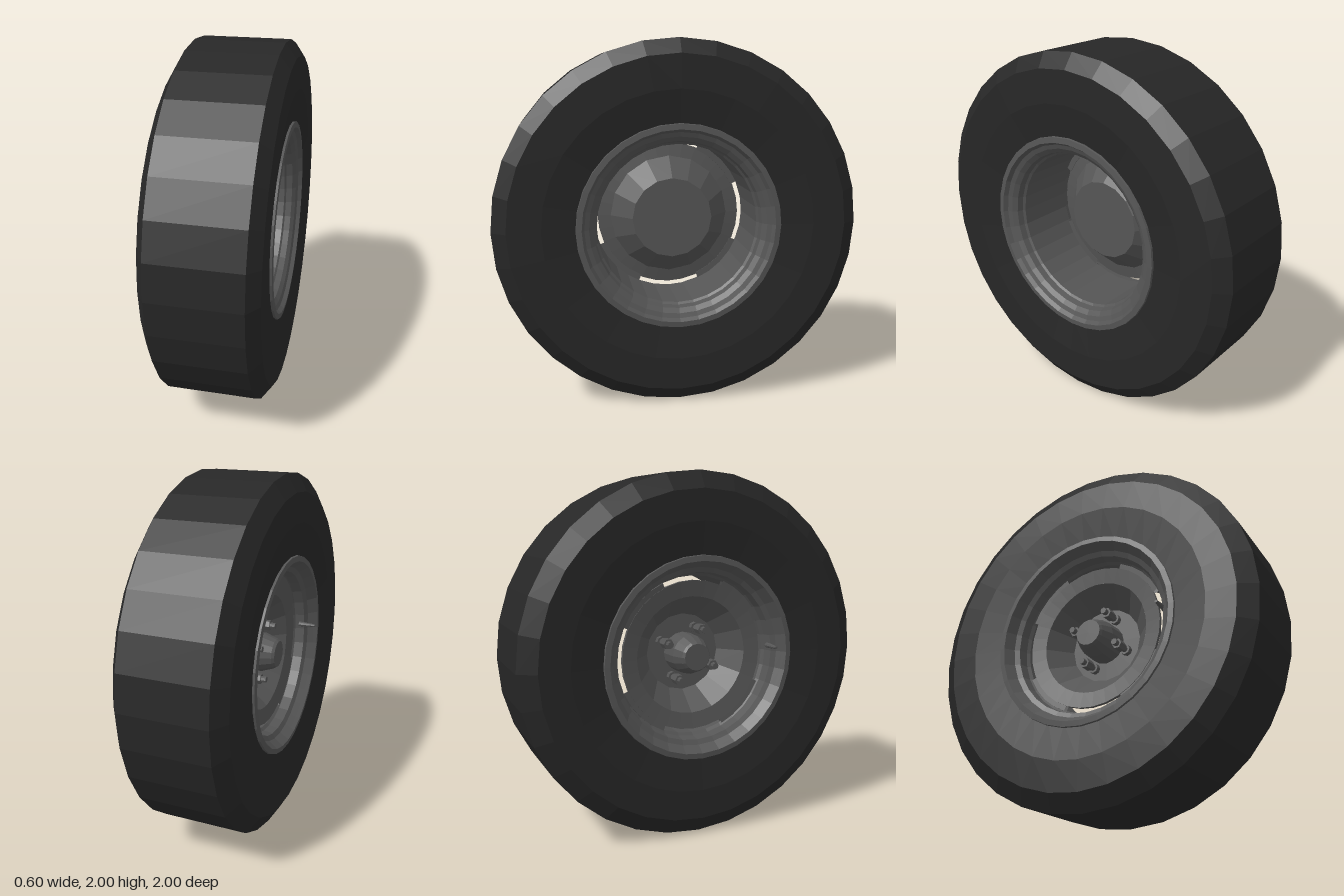
import * as THREE from 'three';

const rubber = new THREE.MeshStandardMaterial({ name: 'black rubber', color: 0x272727, flatShading: true });
const steel = new THREE.MeshStandardMaterial({ name: 'grey steel', color: 0x555555, flatShading: true, side: THREE.DoubleSide });

// Spins a profile of [axial x, radius] points around the x axle.
function spin(name, points, material, sides, start = 0, length = Math.PI * 2) {
  const profile = points.map(([x, r]) => new THREE.Vector2(r, x));
  const geometry = new THREE.LatheGeometry(profile, sides, start, length);
  geometry.rotateZ(-Math.PI / 2);
  const mesh = new THREE.Mesh(geometry, material);
  mesh.name = name;
  return mesh;
}

export function createModel() {
  const group = new THREE.Group();
  group.name = 'wheel';
  const wheel = new THREE.Group();
  wheel.name = 'wheelAssembly';
  wheel.position.y = 1;
  group.add(wheel);

  // Tyre with chamfered shoulders
  wheel.add(spin('tyre', [
    [-0.2, 0.5], [-0.27, 0.54], [-0.298, 0.74], [-0.298, 0.905], [-0.24, 1],
    [0.24, 1], [0.298, 0.92], [0.298, 0.74], [0.27, 0.54], [0.2, 0.5], [-0.2, 0.5],
  ], rubber, 32));

  // Stepped rim and barrel
  wheel.add(spin('rim', [
    [0.26, 0.565], [0.285, 0.56], [0.288, 0.53], [0.265, 0.515], [0.255, 0.49], [0.235, 0.465],
    [0.2, 0.457], [0.19, 0.445], [-0.15, 0.445], [-0.165, 0.46], [-0.22, 0.468], [-0.235, 0.495],
    [-0.265, 0.515], [-0.288, 0.53], [-0.285, 0.56], [-0.26, 0.565],
  ], steel, 32));

  // Dished centre, hollow towards the outer side
  wheel.add(spin('centreDish', [
    [-0.02, 0], [-0.02, 0.22], [-0.15, 0.335], [-0.15, 0.36], [-0.13, 0.345], [0, 0.23], [0, 0],
  ], steel, 16));
  wheel.add(spin('dishFlange', [
    [-0.15, 0.33], [-0.165, 0.42], [-0.145, 0.42], [-0.13, 0.34],
  ], steel, 32));

  // Four tabs join the flange to the barrel, leaving slots between them
  for (let i = 0; i < 4; i++) {
    const span = THREE.MathUtils.degToRad(42);
    const start = Math.PI / 4 + i * Math.PI / 2 - span / 2;
    wheel.add(spin('flangeTab', [
      [-0.16, 0.41], [-0.165, 0.448], [-0.14, 0.448], [-0.14, 0.41], [-0.16, 0.41],
    ], steel, 4, start, span));
  }

  // Tapered hub cap
  wheel.add(spin('hub', [
    [-0.215, 0], [-0.215, 0.075], [-0.2, 0.085], [-0.13, 0.11], [-0.015, 0.115],
  ], steel, 16));

  // Four wheel bolts with nuts
  for (let i = 0; i < 4; i++) {
    const angle = THREE.MathUtils.degToRad(27) + i * Math.PI / 2;
    const bolt = new THREE.Group();
    bolt.name = 'wheelBolt';
    bolt.add(
      spin('stud', [[-0.17, 0], [-0.17, 0.018], [-0.01, 0.018]], steel, 8),
      spin('nut', [[-0.14, 0], [-0.14, 0.03], [-0.08, 0.03], [-0.08, 0]], steel, 6),
      spin('washer', [[-0.05, 0], [-0.05, 0.03], [-0.01, 0.03]], steel, 8),
    );
    bolt.position.set(0, Math.cos(angle) * 0.155, Math.sin(angle) * 0.155);
    wheel.add(bolt);
  }

  // Valve stem on the outer side
  const valve = spin('valveStem', [
    [-0.29, 0], [-0.29, 0.008], [-0.25, 0.012], [-0.19, 0.016],
  ], steel, 8);
  valve.position.set(0, 0.03, 0.462);
  wheel.add(valve);

  return group;
}
